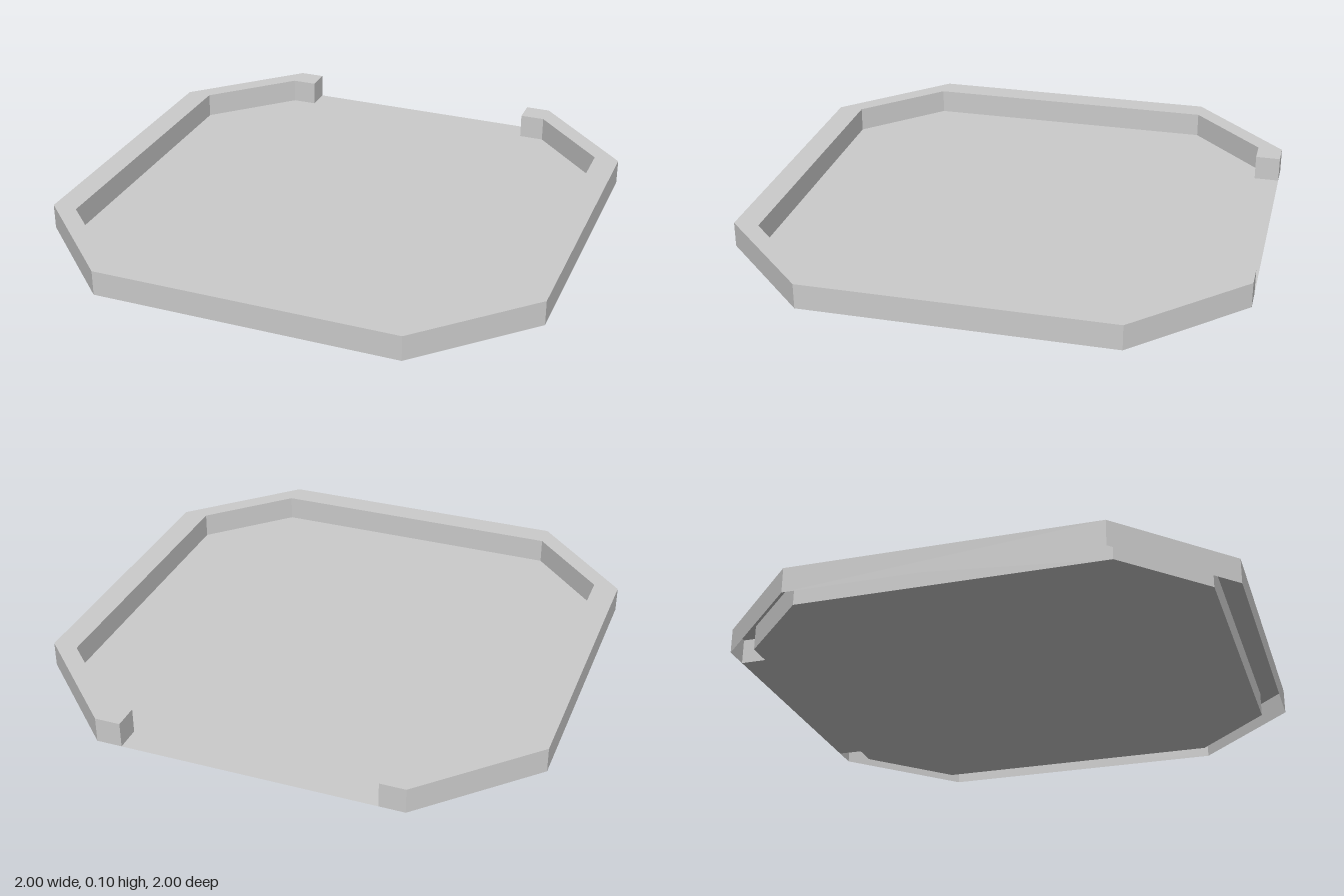
import * as THREE from 'three';

const HEIGHT = 0.1;

// Mirrors a half outline across the centre line to make a full run of points
const mirrored = (half) => [
  ...half.map(([x, y]) => [-x, y]),
  ...half.slice().reverse(),
].map(([x, y]) => new THREE.Vector2(x, y));

// Flat horizontal face; shape y points to the back (-z)
function flatFace(points, y) {
  const geometry = new THREE.ShapeGeometry(new THREE.Shape(points));
  return geometry.rotateX(-Math.PI / 2).translate(0, y, 0);
}

// Vertical faces along a closed outline
function wallFaces(points) {
  const positions = [];
  points.forEach((a, i) => {
    const b = points[(i + 1) % points.length];
    const a0 = [a.x, 0, -a.y], a1 = [a.x, HEIGHT, -a.y];
    const b0 = [b.x, 0, -b.y], b1 = [b.x, HEIGHT, -b.y];
    positions.push(...a0, ...b0, ...b1, ...a0, ...b1, ...a1);
  });
  const geometry = new THREE.BufferGeometry();
  geometry.setAttribute('position', new THREE.Float32BufferAttribute(positions, 3));
  geometry.computeVertexNormals();
  return geometry;
}

export function createModel() {
  const model = new THREE.Group();
  model.name = 'octagonalTray';
  const material = new THREE.MeshStandardMaterial({
    color: 0xcccccc, flatShading: true, side: THREE.DoubleSide,
  });
  const add = (name, geometry, parent) => {
    const mesh = new THREE.Mesh(geometry, material);
    mesh.name = name;
    parent.add(mesh);
  };

  // Outlines run from the gap at the back round to the front
  const outer = mirrored([[0.5, 1], [0.6, 1], [1, 0.6], [1, -0.6], [0.6, -1]]);
  const inner = mirrored([[0.5, 0.9], [0.6, 0.9], [0.9, 0.6], [0.9, -0.6], [0.6, -0.9]]);
  const rimOutline = [...outer, ...inner.slice().reverse()];

  // Rim: hollow wall, open underneath, with a gap at the back
  const rim = new THREE.Group();
  rim.name = 'rim';
  add('rimWalls', wallFaces(rimOutline), rim);
  add('rimTop', flatFace(rimOutline, HEIGHT), rim);
  model.add(rim);

  // Floor: fills the inside and reaches out through the gap
  const floorOutline = [outer[0], ...inner, outer[outer.length - 1]];
  add('floor', flatFace(floorOutline, 0), model);

  return model;
}
